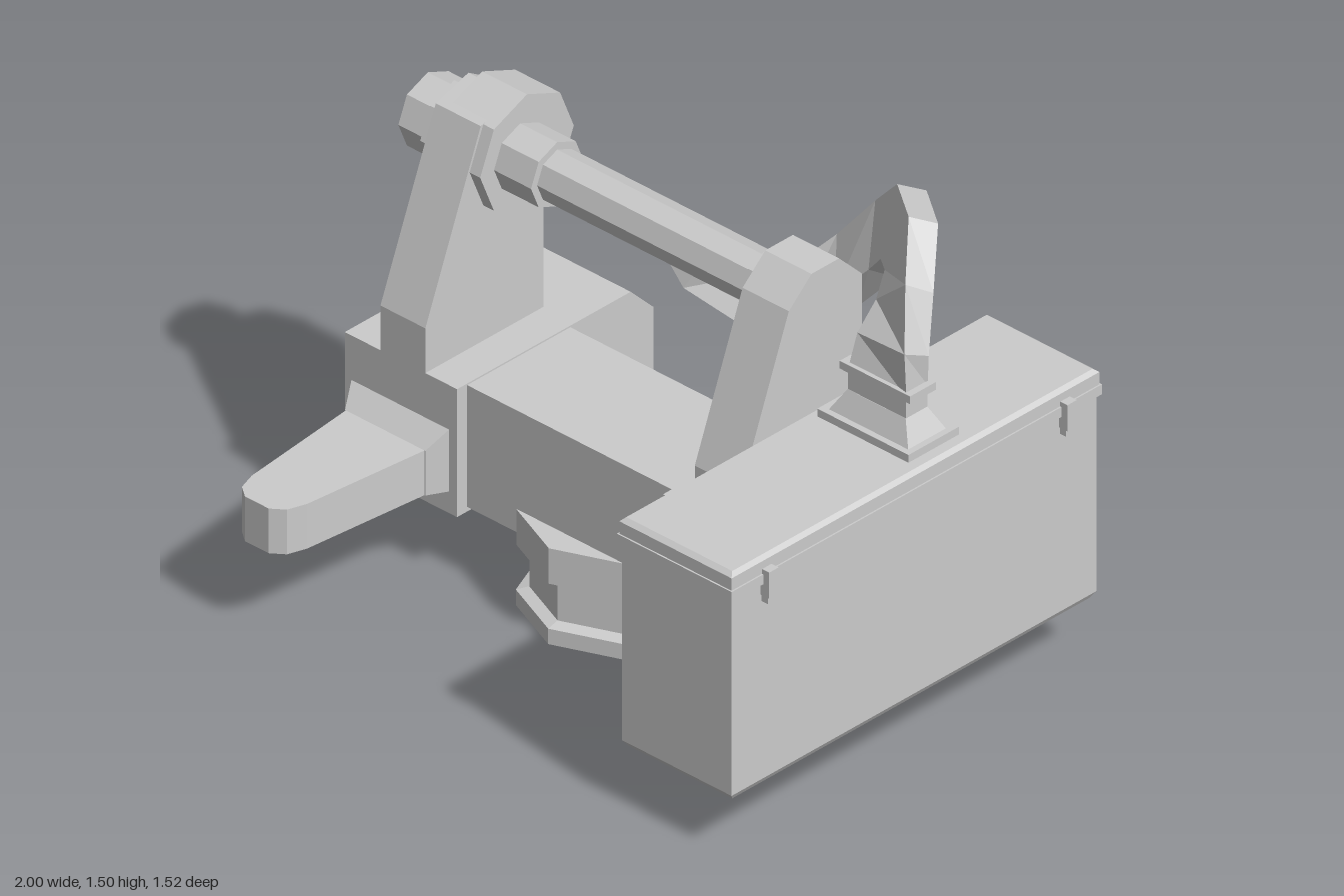
import * as THREE from 'three';

const material = new THREE.MeshStandardMaterial({ color: 0xcccccc, flatShading: true, side: THREE.DoubleSide });

export function createModel() {
  const model = new THREE.Group();

  const add = (name, geometry) => {
    const flat = geometry.index ? geometry.toNonIndexed() : geometry;
    flat.computeVertexNormals();
    const mesh = new THREE.Mesh(flat, material);
    mesh.name = name;
    model.add(mesh);
    return mesh;
  };

  // box given by its limits, with an optional rule that moves its corners
  const box = (name, x0, x1, y0, y1, z0, z1, rule) => {
    const g = new THREE.BoxGeometry(x1 - x0, y1 - y0, z1 - z0);
    g.translate((x0 + x1) / 2, (y0 + y1) / 2, (z0 + z1) / 2);
    if (rule) {
      const p = g.attributes.position;
      const v = new THREE.Vector3();
      for (let i = 0; i < p.count; i++) {
        rule(v.fromBufferAttribute(p, i));
        p.setXYZ(i, v.x, v.y, v.z);
      }
    }
    return add(name, g);
  };

  // rule that insets the corners on one level
  const inset = (level, cx, cz, dx, dz) => (v) => {
    if (Math.abs(v.y - level) > 1e-4) return;
    v.x -= Math.sign(v.x - cx) * dx;
    v.z -= Math.sign(v.z - cz) * dz;
  };

  const shapeOf = (points) => new THREE.Shape(points.map(([a, b]) => new THREE.Vector2(a, b)));

  // side profile of [z, y] points, extruded across x
  const sideProfile = (name, points, x0, x1) => {
    const g = new THREE.ExtrudeGeometry(shapeOf(points), { depth: x1 - x0, bevelEnabled: false });
    return add(name, g.rotateY(-Math.PI / 2).translate(x1, 0, 0));
  };

  // eight-sided bar along x
  const bar = (name, x0, x1, r, y = 1.205, z = -0.145) => {
    const g = new THREE.CylinderGeometry(r, r, x1 - x0, 8);
    return add(name, g.rotateZ(Math.PI / 2).translate((x0 + x1) / 2, y, z));
  };

  // lower housing
  sideProfile('endHousing', [[0.19, 0.22], [0.19, 0.635], [-0.5, 0.635], [-0.59, 0.545],
    [-0.59, 0.31], [-0.5, 0.22]], -0.985, -0.56);
  box('sidePanel', -1, -0.98, 0.3, 0.56, -0.21, 0.16);
  box('crossBeam', -0.57, 0.23, 0.235, 0.63, -0.26, 0.15);
  box('boxHousing', 0.22, 0.56, 0.225, 0.635, -0.29, 0.19);

  // uprights
  sideProfile('rightUpright', [[0.19, 0.6], [0.19, 0.78], [-0.03, 1.335], [-0.16, 1.375],
    [-0.28, 1.3], [-0.28, 0.6]], -0.85, -0.68);
  sideProfile('leftUpright', [[0.19, 0.6], [0.19, 0.78], [0, 1.27], [-0.09, 1.35],
    [-0.2, 1.35], [-0.29, 1.26], [-0.29, 0.6]], 0.34, 0.515);

  // shaft with its hub, collars and end nut
  bar('shaft', -0.7, 0.36, 0.08);
  bar('shaftHub', -0.81, -0.64, 0.186, 1.205, -0.172);
  bar('innerCollar', -0.65, -0.5, 0.104);
  bar('outerCollar', 0.29, 0.35, 0.1);
  bar('washer', -0.89, -0.82, 0.135);
  bar('endNut', -0.99, -0.88, 0.117);

  // hollow octagonal pedestal
  const pedestal = new THREE.LatheGeometry([[0, 0.31], [0.285, 0.31], [0.285, 0.195], [0.25, 0.185],
    [0.25, 0.06], [0.287, 0.05], [0.287, 0], [0.255, 0], [0.225, 0.06], [0.225, 0.2], [0, 0.2]]
    .reverse().map(([r, y]) => new THREE.Vector2(r, y)), 8);
  add('pedestal', pedestal.translate(-0.17, 0, -0.05));

  // horn in front: a flared root and a tapering tongue
  box('hornRoot', -0.965, -0.585, 0.29, 0.5, 0.18, 0.25, (v) => {
    if (v.z < 0.2) return;
    v.x = -0.775 + (v.x + 0.775) * 0.8;
    v.y = Math.min(v.y, 0.435);
  });
  const tongue = [[0.152, 0.22], [0.105, 0.67], [0.085, 0.73], [0.045, 0.76]];
  const outline = [...tongue, ...tongue.map(([x, z]) => [-x, z]).reverse()];
  const horn = new THREE.ExtrudeGeometry(shapeOf(outline), { depth: 0.145, bevelEnabled: false });
  add('horn', horn.rotateX(Math.PI / 2).translate(-0.775, 0.435, 0));

  // large box with lid and latches
  box('boxBottom', 0.55, 0.965, 0.195, 0.215, -0.75, 0.7, inset(0.195, 0.76, 0, 0.012, 0.015));
  box('boxBody', 0.55, 0.965, 0.215, 0.86, -0.75, 0.7);
  box('lidRim', 0.54, 0.975, 0.853, 0.885, -0.762, 0.71);
  box('lid', 0.545, 0.97, 0.885, 0.925, -0.757, 0.705);
  box('lidTop', 0.545, 0.97, 0.925, 0.937, -0.757, 0.705, inset(0.937, 0.76, 0, 0.012, 0.015));
  for (const z of [0.565, -0.62]) {
    box('latch', 0.96, 0.997, 0.815, 0.9, z - 0.019, z + 0.019);
    box('latchTip', 0.96, 0.988, 0.792, 0.815, z - 0.015, z + 0.015);
  }

  // duct fitting on the lid
  box('ductFlange', 0.58, 0.925, 0.93, 0.962, -0.245, -0.045);
  box('ductTaper', 0.605, 0.905, 0.962, 1.03, -0.215, -0.065, inset(1.03, 0.755, -0.14, 0.04, 0.032));
  box('ductNeck', 0.645, 0.865, 1.025, 1.1, -0.184, -0.098);
  box('ductCollar', 0.622, 0.888, 1.09, 1.115, -0.194, -0.09);

  // flat duct: [centre], [direction of its thin side], width, thickness
  const sections = [
    [[0.757, 1.1, -0.14], [0, 0, -1], 0.22, 0.085],
    [[0.762, 1.2, -0.155], [0.2, -0.15, -1], 0.22, 0.085],
    [[0.735, 1.31, -0.23], [0.5, -0.3, -0.8], 0.21, 0.085],
    [[0.655, 1.385, -0.34], [0.62, -0.3, -0.72], 0.21, 0.085],
    [[0.54, 1.365, -0.43], [0.62, -0.3, -0.72], 0.21, 0.085],
    [[0.43, 1.25, -0.475], [0.62, -0.3, -0.72], 0.21, 0.085],
    [[0.3, 1.1, -0.46], [0.62, -0.3, -0.72], 0.2, 0.085],
    [[0.19, 0.995, -0.4], [0.5, -0.35, -0.75], 0.17, 0.08],
    [[0.05, 0.965, -0.31], [0.4, -0.4, -0.8], 0.13, 0.07],
    [[-0.08, 1.02, -0.26], [0.3, -0.4, -0.8], 0.1, 0.06],
    [[-0.155, 1.09, -0.25], [0.3, -0.4, -0.8], 0.07, 0.05],
  ];
  const centres = sections.map(([c]) => new THREE.Vector3(...c));
  const positions = [];
  sections.forEach(([, thin, width, thickness], i) => {
    const t = i === 0 ? new THREE.Vector3(0, 1, 0)
      : centres[Math.min(i + 1, centres.length - 1)].clone().sub(centres[i - 1]).normalize();
    const w = t.clone().cross(new THREE.Vector3(...thin)).normalize();
    const n = w.clone().cross(t);
    for (const [a, b] of [[-1, -1], [1, -1], [1, 1], [-1, 1]]) {
      const p = centres[i].clone().addScaledVector(w, a * width / 2).addScaledVector(n, b * thickness / 2);
      positions.push(p.x, p.y, p.z);
    }
  });
  const indices = [0, 2, 1, 0, 3, 2];
  for (let i = 0; i < sections.length - 1; i++) {
    for (let k = 0; k < 4; k++) {
      const a = i * 4 + k, b = i * 4 + (k + 1) % 4;
      indices.push(a, b, b + 4, a, b + 4, a + 4);
    }
  }
  const e = (sections.length - 1) * 4;
  indices.push(e, e + 1, e + 2, e, e + 2, e + 3);
  const duct = new THREE.BufferGeometry();
  duct.setAttribute('position', new THREE.Float32BufferAttribute(positions, 3));
  duct.setIndex(indices);
  add('curvedDuct', duct);

  return model;
}
